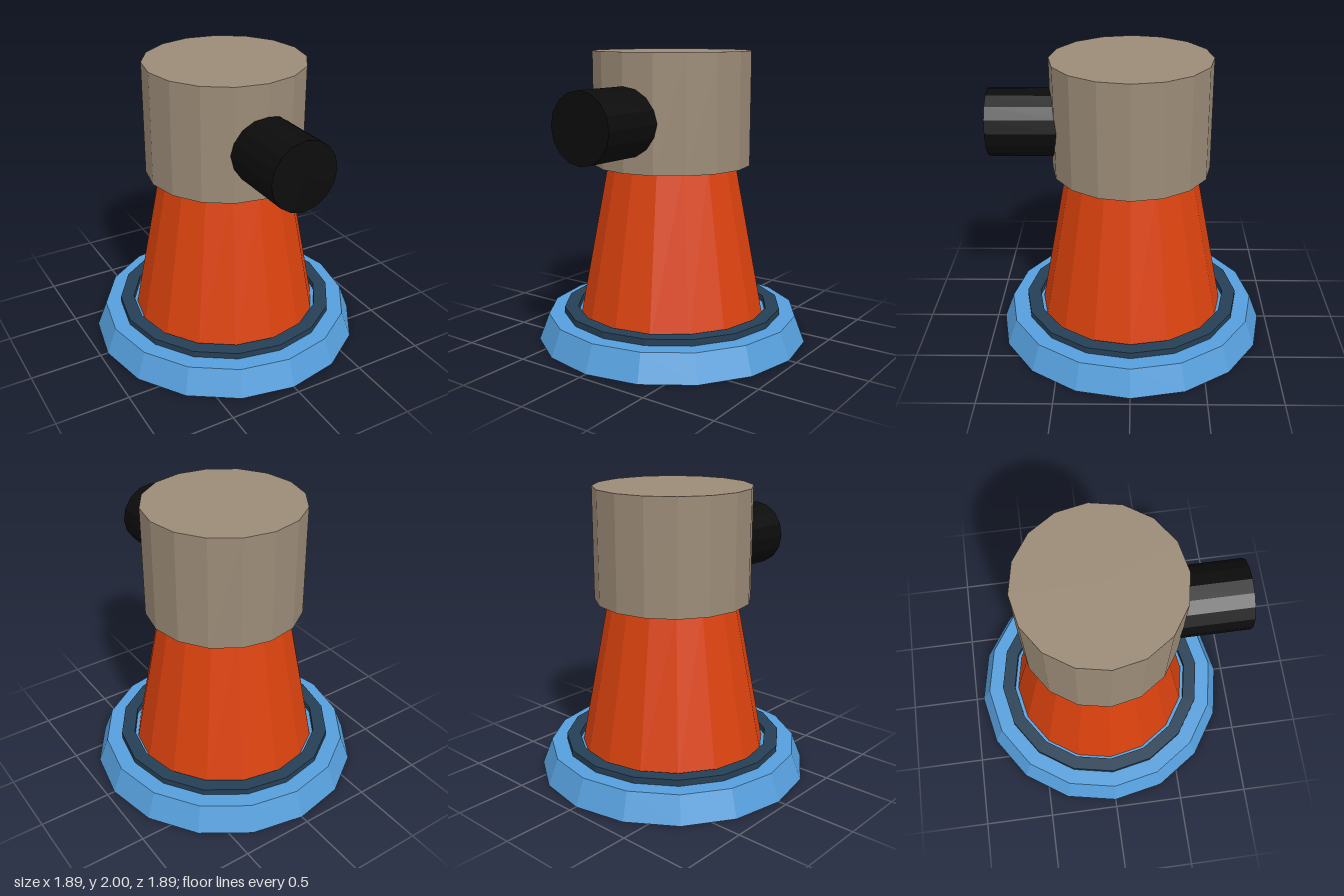
import * as THREE from 'three';

const SIDES = 16;

export function createModel() {
  const model = new THREE.Group();

  const add = (name, geometry, color, side = THREE.FrontSide) => {
    const material = new THREE.MeshStandardMaterial({ color, side, flatShading: true });
    const mesh = new THREE.Mesh(geometry, material);
    mesh.name = name;
    model.add(mesh);
    return mesh;
  };
  const lathe = (points) =>
    new THREE.LatheGeometry(points.map(([r, y]) => new THREE.Vector2(r, y)), SIDES);

  // Hollow flared foot: sloping skirt and flat top plate, open underneath
  add('baseSkirt', lathe([[0.945, 0], [0.875, 0.183], [0.645, 0.183]]), 0x569fdc, THREE.DoubleSide);

  // Square-section collar set through the top plate
  add('collarRing', lathe([
    [0.67, 0.135], [0.765, 0.135], [0.765, 0.227], [0.67, 0.227], [0.67, 0.135],
  ]), 0x263f55);

  // Tapered body, closed at the bottom
  const body = add('taperedBody', new THREE.CylinderGeometry(0.44, 0.655, 1.125, SIDES), 0xdb420e);
  body.position.y = 0.135 + 1.125 / 2;

  // Drum-shaped head
  const head = add('head', new THREE.CylinderGeometry(0.54, 0.54, 0.77, SIDES), 0x9b8b77);
  head.position.y = 1.23 + 0.77 / 2;

  // Short barrel pointing forward from the head
  const barrel = add('barrel', new THREE.CylinderGeometry(0.23, 0.23, 0.55, SIDES), 0x0c0c0c);
  barrel.rotation.x = Math.PI / 2;
  barrel.position.set(0, 1.557, 0.675);

  return model;
}
